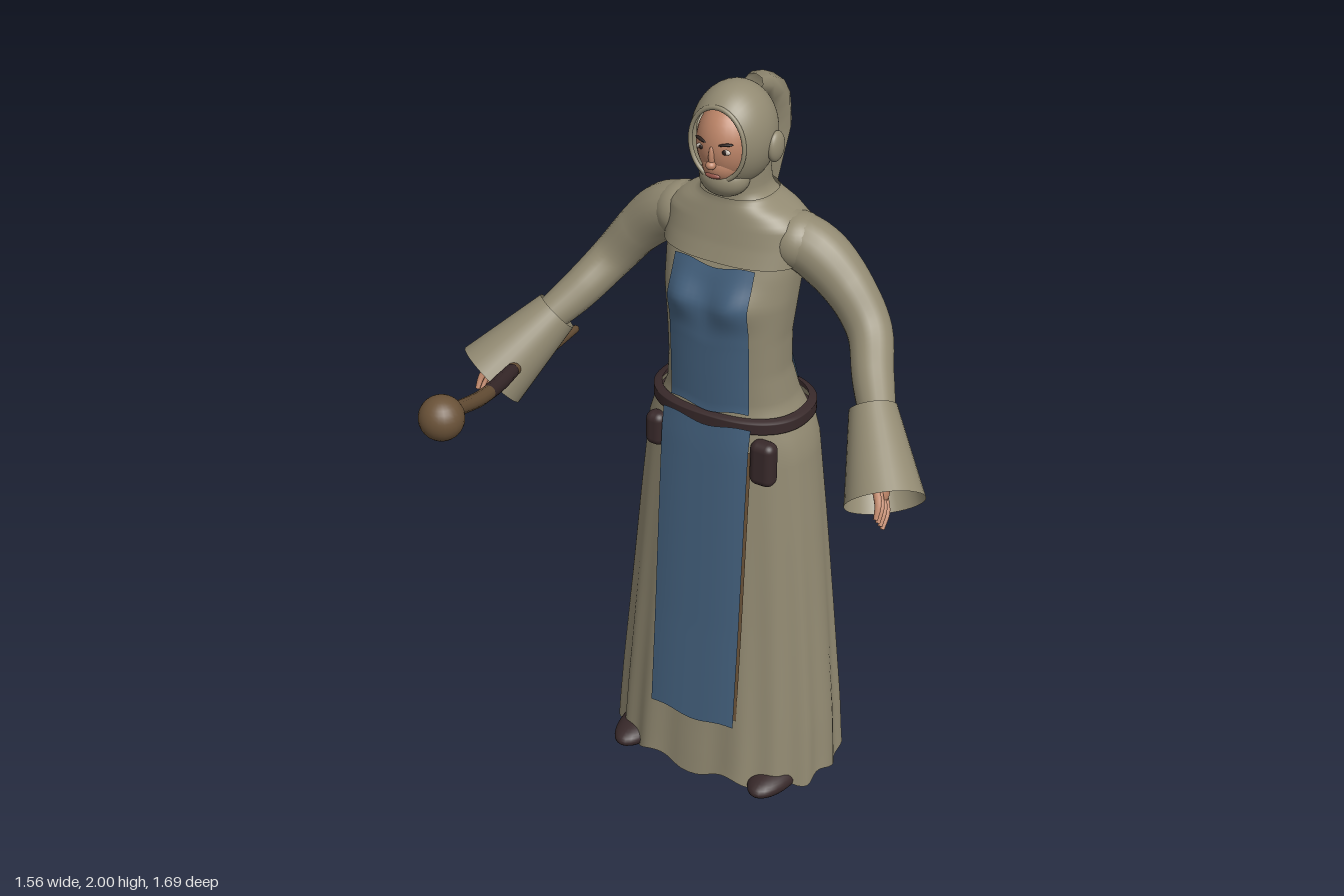
import * as THREE from 'three';
import { RoundedBoxGeometry } from 'three/addons/geometries/RoundedBoxGeometry.js';

const mat = (name, color) => {
  const m = new THREE.MeshStandardMaterial({ color, side: THREE.DoubleSide });
  m.name = name;
  return m;
};
const V = (x, y, z) => new THREE.Vector3(x, y, z);

// Profiles from bottom to top: [y, centre z, half width, half depth]
const SKIRT = [
  [0.03, -0.293, 0.318, 0.22], [0.2, -0.293, 0.308, 0.208], [0.5, -0.29, 0.282, 0.188],
  [0.8, -0.285, 0.255, 0.17], [1.05, -0.28, 0.23, 0.154], [1.12, -0.28, 0.205, 0.148],
];
const TORSO = [
  [1.1, -0.28, 0.2, 0.145], [1.16, -0.272, 0.175, 0.13], [1.25, -0.252, 0.163, 0.115],
  [1.35, -0.246, 0.165, 0.114], [1.45, -0.252, 0.176, 0.116], [1.53, -0.265, 0.182, 0.112],
  [1.6, -0.284, 0.185, 0.108], [1.65, -0.288, 0.18, 0.1], [1.68, -0.287, 0.145, 0.092],
  [1.705, -0.285, 0.092, 0.084], [1.73, -0.28, 0.078, 0.078], [1.8, -0.27, 0.075, 0.075],
];
const BELT = [[1.098, -0.28, 0.2, 0.143], [1.104, -0.28, 0.217, 0.157], [1.134, -0.28, 0.217, 0.157], [1.14, -0.28, 0.195, 0.14]];
const POWER = 2.4;

function ringAt(profile, y) {
  let i = 0;
  while (i < profile.length - 2 && y > profile[i + 1][0]) i++;
  const a = profile[i], b = profile[i + 1];
  const t = THREE.MathUtils.clamp((y - a[0]) / (b[0] - a[0]), 0, 1);
  return a.map((v, k) => v + (b[k] - v) * t);
}
const bust = (x, y) => 0.026 * Math.exp(-((Math.abs(x) - 0.075) ** 2 + (y - 1.45) ** 2) / 0.003);

// Closed rings stacked between two heights, pushed out by a rule
function loft(profile, y0, y1, rows, grow = 0, change = null, seg = 96) {
  const pos = [], idx = [];
  const sp = c => Math.sign(c) * Math.abs(c) ** (2 / POWER);
  for (let j = 0; j <= rows; j++) {
    const [y, cz, rx, rz] = ringAt(profile, y0 + (y1 - y0) * j / rows);
    for (let i = 0; i < seg; i++) {
      const a = i / seg * Math.PI * 2;
      const p = V((rx + grow) * sp(Math.cos(a)), y, cz + (rz + grow) * sp(Math.sin(a)));
      if (change) change(p, a);
      pos.push(p.x, p.y, p.z);
      if (j < rows) {
        const n = (i + 1) % seg, b = j * seg;
        idx.push(b + i, b + seg + i, b + n, b + n, b + seg + i, b + seg + n);
      }
    }
  }
  const g = new THREE.BufferGeometry();
  g.setAttribute('position', new THREE.Float32BufferAttribute(pos, 3));
  g.setIndex(idx);
  g.computeVertexNormals();
  return g;
}

// Cloth strip lying over a profile, side = 1 front or -1 back
function panel(profile, side, x0, x1, y0, y1, gap, bumps) {
  const g = new THREE.PlaneGeometry(1, 1, 14, 32), p = g.attributes.position;
  for (let i = 0; i < p.count; i++) {
    const y = y0 + (y1 - y0) * (p.getY(i) + 0.5);
    const u = p.getX(i) * side + 0.5, x = x0 + (x1 - x0) * u;
    const [, cz, rx, rz] = ringAt(profile, y);
    const d = (rz + gap) * Math.max(0, 1 - Math.abs(x / (rx + gap)) ** POWER) ** (1 / POWER);
    p.setXYZ(i, x, y + 0.006 * Math.sin(u * 9), cz + side * d + (bumps ? bust(x, y) : 0));
  }
  g.computeVertexNormals();
  return g;
}

// Tube along points with a radius at each point
function sweep(points, radii, rings = 32, sides = 18) {
  const curve = new THREE.CatmullRomCurve3(points);
  const g = new THREE.TubeGeometry(curve, rings, 1, sides), p = g.attributes.position;
  for (let i = 0; i < p.count; i++) {
    const t = Math.floor(i / (sides + 1)) / rings, f = t * (radii.length - 1);
    const k = Math.min(Math.floor(f), radii.length - 2);
    const r = radii[k] + (radii[k + 1] - radii[k]) * (f - k);
    const c = curve.getPointAt(t);
    const v = V(0, 0, 0).fromBufferAttribute(p, i).sub(c).multiplyScalar(r).add(c);
    p.setXYZ(i, v.x, v.y, v.z);
  }
  return g;
}

export function createModel() {
  const root = new THREE.Group(), body = new THREE.Group();
  root.name = 'robedFigure';
  body.name = 'figure';
  body.position.x = 0.117;
  root.add(body);

  const cloth = mat('robe cloth', 0x928a72), blue = mat('blue tabard', 0x44617e);
  const dark = mat('dark leather', 0x38292a), wood = mat('wood', 0x6a5238);
  const skin = mat('skin', 0xbd8568), lip = mat('lips', 0x99584c);
  const white = mat('eye white', 0xd2c8bd), black = mat('eye dark', 0x2a1f1c);

  const add = (name, geo, m, parent = body) => {
    const o = new THREE.Mesh(geo, m);
    o.name = name;
    parent.add(o);
    return o;
  };
  const blob = (name, m, x, y, z, rx, ry, rz) => {
    const o = add(name, new THREE.SphereGeometry(1, 28, 20), m);
    o.position.set(x, y, z);
    o.scale.set(rx, ry, rz);
    return o;
  };

  // Robe: folded skirt, bodice, mantle over the shoulders
  add('skirt', loft(SKIRT, 0.03, 1.12, 28, 0, (p, a) => {
    const t = 1 - p.y / 1.12, k = 1 + 0.022 * t * Math.cos(16 * a) + 0.01 * t * Math.sin(7 * a);
    p.x *= k;
    p.z = -0.29 + (p.z + 0.29) * k;
    if (p.y < 0.04) p.y += 0.012 * Math.sin(11 * a);
  }, 128), cloth);
  const swell = p => { if (p.z > -0.25) p.z += bust(p.x, p.y); };
  add('bodice', loft(TORSO, 1.1, 1.8, 48, 0, swell), cloth);
  add('mantle', loft(TORSO, 1.555, 1.715, 20, 0.009, swell), cloth);
  add('belt', loft(BELT, 1.098, 1.14, 14), dark);

  // Tabard, front and back
  add('frontBodicePanel', panel(TORSO, 1, -0.112, 0.117, 1.15, 1.55, 0.012, true), blue);
  add('backBodicePanel', panel(TORSO, -1, -0.12, 0.12, 1.14, 1.645, 0.014), blue);
  for (const side of [1, -1]) {
    const n = side > 0 ? 'front' : 'back';
    add(n + 'SkirtPanel', panel(SKIRT, side, -0.128, 0.13, 0.21, 1.115, 0.014), blue);
    add(n + 'PanelLining', panel(SKIRT, side, 0.1, 0.135, 0.23, 1.05, 0.008), wood);
  }

  // Pouches on the belt
  [['leftPouch', 0.165, 1.03, 0.07, 0.125], ['rightPouch', -0.155, 1.035, 0.055, 0.095]].forEach(([n, x, y, w, h]) => {
    add(n, new RoundedBoxGeometry(w, h, 0.05, 4, 0.022), dark).position.set(x, y, -0.148);
  });

  // Head: covered skull with a round opening, face, chin cloth
  const hood = add('hood', new THREE.SphereGeometry(1, 40, 28, 0, Math.PI * 2, 0.8, Math.PI - 0.8).rotateX(Math.PI / 2), cloth);
  hood.position.set(0, 1.867, -0.25);
  hood.scale.set(0.104, 0.133, 0.12);
  const rim = add('hoodRim', new THREE.TorusGeometry(1, 0.07, 10, 48), cloth);
  rim.position.set(0, 1.865, -0.168);
  rim.scale.set(0.076, 0.094, 0.09);
  blob('chinCloth', cloth, 0, 1.767, -0.207, 0.066, 0.05, 0.054);
  blob('face', skin, 0, 1.858, -0.228, 0.08, 0.104, 0.088);
  blob('jaw', skin, 0, 1.808, -0.2, 0.052, 0.05, 0.056);
  blob('noseBridge', skin, 0, 1.842, -0.144, 0.008, 0.028, 0.01);
  blob('noseTip', skin, 0, 1.82, -0.14, 0.013, 0.011, 0.013);
  blob('mouth', lip, 0, 1.789, -0.149, 0.021, 0.007, 0.006);
  for (const s of [-1, 1]) {
    const n = s > 0 ? 'left' : 'right';
    blob(n + 'Eye', white, s * 0.034, 1.858, -0.151, 0.014, 0.007, 0.005);
    blob(n + 'Iris', black, s * 0.033, 1.858, -0.147, 0.006, 0.006, 0.003);
    const brow = blob(n + 'Brow', black, s * 0.035, 1.877, -0.15, 0.019, 0.004, 0.005);
    brow.rotation.set(0, s * 0.3, s * 0.15);
    blob(n + 'Ear', cloth, s * 0.104, 1.845, -0.272, 0.017, 0.04, 0.032);
  }

  // Cloth tail hanging from the back of the hood
  const tail = add('hoodTail', sweep([V(0, 1.965, -0.335), V(0, 1.935, -0.395), V(0, 1.84, -0.427), V(0, 1.74, -0.425), V(0, 1.65, -0.438)],
    [0.022, 0.048, 0.046, 0.032, 0.012], 10, 8), cloth);
  tail.scale.x = 1.25;

  // Arms, bell cuffs, hands and boots
  for (const s of [-1, 1]) {
    const n = s > 0 ? 'left' : 'right', P = (x, y, z) => V(s * x, y, z);
    add(n + 'Sleeve', sweep([P(0.13, 1.61, -0.285), P(0.21, 1.588, -0.292), P(0.3, 1.51, -0.3), P(0.375, 1.415, -0.285), P(0.43, 1.335, -0.21), P(0.5, 1.25, -0.12)],
      [0.074, 0.073, 0.062, 0.056, 0.052, 0.043]), cloth);
    blob(n + 'Shoulder', cloth, s * 0.165, 1.603, -0.287, 0.074, 0.074, 0.08);
    const a = P(0.465, 1.285, -0.15), b = P(0.58, 1.125, -0.012), dir = a.clone().sub(b);
    const cuff = add(n + 'Cuff', new THREE.CylinderGeometry(0.06, 0.1, dir.length(), 32, 4, true), cloth);
    cuff.position.copy(a).add(b).multiplyScalar(0.5);
    cuff.quaternion.setFromUnitVectors(V(0, 1, 0), dir.clone().normalize());

    const palm = blob(n + 'Palm', skin, s * 0.55, 1.165, -0.045, 0.02, 0.058, 0.036);
    palm.rotation.set(-0.65, 0, s * 0.45);
    for (let i = 0; i < 4; i++) {
      const o = (i - 1.5) * 0.016;
      add(n + 'Finger' + (i + 1), sweep([P(0.555, 1.155 + o, -0.025 + o), P(0.582, 1.118 + o, 0.004 + o), P(0.586, 1.085 + o, 0.026 + o * 0.8)],
        [0.011, 0.01, 0.006], 8, 8), skin);
    }
    add(n + 'Thumb', sweep([P(0.545, 1.18, -0.05), P(0.51, 1.188, -0.025), P(0.485, 1.18, 0)], [0.015, 0.012, 0.007], 8, 8), skin);

    blob(n + 'Boot', dark, s * 0.215, 0.037, -0.192, 0.06, 0.037, 0.135);
    const shaft = add(n + 'BootShaft', new THREE.CylinderGeometry(0.06, 0.048, 0.3, 20), dark);
    shaft.position.set(s * 0.205, 0.175, -0.275);
  }

  // Staff with leather wraps and a round knob
  const staff = new THREE.Group();
  staff.name = 'staff';
  root.add(staff);
  const path = [V(-0.765, 0.79, -0.845), V(-0.58, 0.965, -0.42), V(-0.38, 1.175, 0), V(-0.29, 1.25, 0.2), V(-0.2, 1.335, 0.4), V(-0.07, 1.485, 0.7), V(-0.015, 1.535, 0.79)];
  add('staffShaft', sweep(path, [0.012, 0.016, 0.018, 0.019, 0.017], 48, 12), wood, staff);
  const line = new THREE.CatmullRomCurve3(path);
  [[0.3, 0.4], [0.54, 0.7], [0.94, 0.98]].forEach(([u, v], i) => {
    const pts = [0, 0.33, 0.67, 1].map(t => line.getPointAt(u + (v - u) * t));
    add('staffWrap' + (i + 1), sweep(pts, [0.019, 0.021, 0.019], 10, 12), dark, staff);
  });
  add('staffKnob', new THREE.SphereGeometry(0.053, 24, 16), wood, staff).position.set(-0.015, 1.535, 0.79);
  return root;
}
